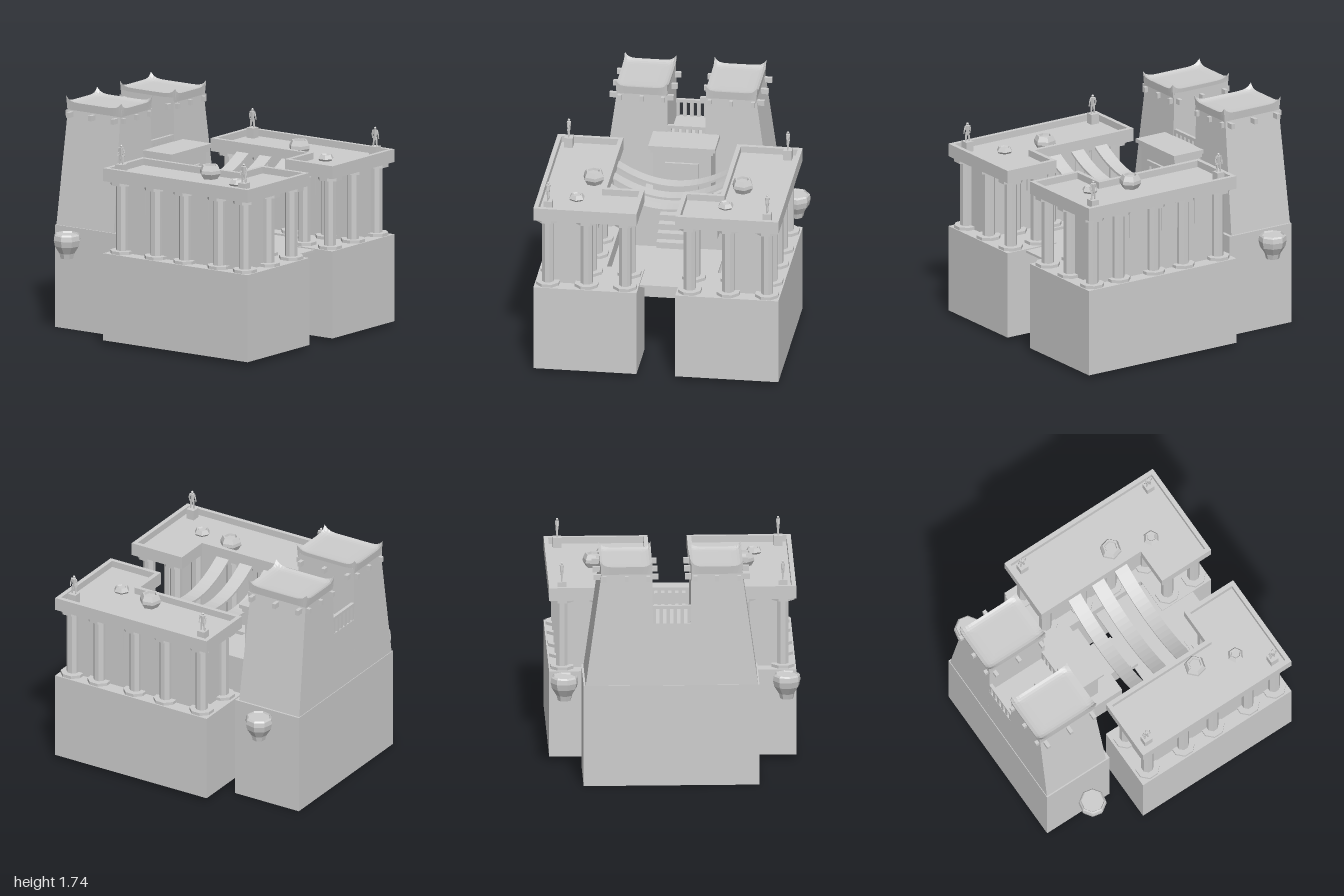
import * as THREE from 'three';

const stone = new THREE.MeshStandardMaterial({ color: 0xcccccc, flatShading: true, side: THREE.DoubleSide });
stone.name = 'stone';

const CX = 0.03; // centre line of the rear gate and sanctuary
const AX = 0.0035; // centre line of the two wings

export function createModel() {
  const model = new THREE.Group();
  model.name = 'temple';

  const add = (name, geometry, parent = model) => {
    const mesh = new THREE.Mesh(geometry, stone);
    mesh.name = name;
    parent.add(mesh);
    return mesh;
  };
  const box = (name, x0, x1, y0, y1, z0, z1, parent) => {
    const m = add(name, new THREE.BoxGeometry(Math.abs(x1 - x0), y1 - y0, z1 - z0), parent);
    m.position.set((x0 + x1) / 2, (y0 + y1) / 2, (z0 + z1) / 2);
    return m;
  };
  const lathe = (name, pts, sides, x, z, parent) => {
    const m = add(name, new THREE.LatheGeometry(pts.map(p => new THREE.Vector2(p[0], p[1])), sides), parent);
    m.position.set(x, 0, z);
    return m;
  };

  // L-shaped plan of a wing, inset by d
  const plan = (s, d) => [
    [0.917 - d, -0.33 + d], [0.426 + d, -0.33 + d], [0.426 + d, 0.56 + d],
    [0.145 + d, 0.56 + d], [0.145 + d, 1 - d], [0.917 - d, 1 - d],
  ].map(([x, z]) => new THREE.Vector2(AX + s * x, z));
  const slab = (name, s, d, y0, y1, hole, parent) => {
    const shape = new THREE.Shape(plan(s, d));
    if (hole) shape.holes.push(new THREE.Path(plan(s, hole)));
    const g = new THREE.ExtrudeGeometry(shape, { depth: y1 - y0, bevelEnabled: false });
    g.rotateX(Math.PI / 2).translate(0, y1, 0);
    return add(name, g, parent);
  };

  const column = (x, z, parent) => {
    const c = new THREE.Group();
    c.name = 'column';
    for (const [r, y0, y1] of [[0.092, 0.69, 0.713], [0.047, 0.713, 1.21], [0.092, 1.21, 1.235]]) {
      const g = new THREE.CylinderGeometry(r, r, y1 - y0, 8);
      g.rotateY(Math.PI / 8).translate(x, (y0 + y1) / 2, z);
      add(r < 0.06 ? 'shaft' : 'columnPlate', g, c);
    }
    parent.add(c);
  };

  // Small standing figure on a pedestal, facing along x
  const statue = (s, x, z, parent) => {
    const g = new THREE.Group();
    g.name = 'statue';
    box('pedestal', -0.032, 0.032, 1.27, 1.362, -0.032, 0.032, g);
    const limb = (name, r0, r1, a, b) => {
      const p = new THREE.Vector3(...a), q = new THREE.Vector3(...b);
      const m = add(name, new THREE.CylinderGeometry(r1, r0, p.distanceTo(q), 6), g);
      m.position.copy(p).add(q).multiplyScalar(0.5);
      m.quaternion.setFromUnitVectors(new THREE.Vector3(0, 1, 0), q.sub(p).normalize());
    };
    for (const k of [-1, 1]) {
      limb('leg', 0.006, 0.01, [0, 1.362, k * 0.016], [0, 1.43, k * 0.009]);
      limb('upperArm', 0.006, 0.007, [0, 1.452, k * 0.027], [0, 1.482, k * 0.018]);
      limb('forearm', 0.005, 0.006, [0.008, 1.42, k * 0.027], [0, 1.452, k * 0.027]);
    }
    limb('torso', 0.012, 0.018, [0, 1.42, 0], [0, 1.485, 0]);
    add('head', new THREE.IcosahedronGeometry(0.011, 0), g).position.set(0, 1.498, 0);
    g.position.set(x, 0, z);
    g.rotation.y = s > 0 ? 0 : Math.PI;
    parent.add(g);
  };

  // Colonnaded wings: a closed hall ringed by half-embedded columns, and an open porch
  for (const s of [1, -1]) {
    const wing = new THREE.Group();
    wing.name = s > 0 ? 'leftWing' : 'rightWing';
    model.add(wing);
    const X = x => AX + s * x;
    slab('wingBase', s, 0, 0.03, 0.69, 0, wing);
    slab('roofSlab', s, 0.001, 1.238, 1.285, 0, wing);
    slab('roofParapet', s, 0, 1.237, 1.335, 0.033, wing);
    box('wingHall', X(0.53), X(0.81), 0.69, 1.24, -0.225, 0.89, wing);
    for (const z of [0.515, 0.22, -0.07])
      for (const x of [0.838, 0.494])
        box('hangingPanel', X(x - 0.004), X(x + 0.004), 1.005, 1.238, z - 0.068, z + 0.068, wing);
    for (const z of [0.905, 0.67, 0.355, 0.09, -0.225])
      for (const x of [0.82, 0.53]) column(X(x), z, wing);
    for (const z of [0.905, 0.67]) column(X(0.242), z, wing);
    for (const z of [-0.235, 0.895]) statue(s, X(0.82), z, wing);
    // Roof planters
    lathe('largePlanter', [[0, 1.28], [0.055, 1.28], [0.082, 1.325], [0.08, 1.35], [0.062, 1.387], [0.048, 1.387], [0.044, 1.37], [0, 1.37]],
      6, s > 0 ? 0.57 : -0.545, 0.385, wing).rotation.y = 0.25;
    lathe('smallPlanter', [[0, 1.28], [0.045, 1.28], [0.062, 1.3], [0.045, 1.33], [0.037, 1.33], [0.03, 1.32], [0, 1.32]],
      6, s > 0 ? 0.485 : -0.63, 0.69, wing);
    // Urn beside the gate base
    lathe('urn', [[0, 0.59], [0.05, 0.59], [0.06, 0.63], [0.095, 0.685], [0.105, 0.73], [0.1, 0.765], [0.09, 0.777], [0.084, 0.765], [0, 0.765]],
      8, s > 0 ? 0.82 : -0.83, -0.725).rotation.y = 0.2;
  }

  // Sagging bands strung between the wings
  for (const z of [-0.035, 0.175, 0.38]) {
    const band = new THREE.BoxGeometry(0.86, 0.018, 0.108, 20, 1, 1);
    const p = band.attributes.position;
    for (let i = 0; i < p.count; i++) {
      const u = p.getX(i) / 0.43;
      p.setY(i, p.getY(i) + 1.115 + 0.14 * u * u);
    }
    band.translate(0, 0, z);
    add('saggingBand', band);
  }

  // Court floor, walkway and stairs
  box('courtFloor', -0.39, 0.405, 0.665, 0.682, 0.14, 0.56);
  box('walkway', -0.14, 0.148, 0.665, 0.682, 0.56, 0.835);
  for (let i = 0; i < 4; i++)
    box('stair', CX - 0.137, CX + 0.137, 0.67, 0.73 + i * 0.047, -0.08, 0.17 - i * 0.06);

  // Sanctuary
  box('sanctuaryPlatform', -0.267, 0.317, 0.665, 0.912, -0.47, -0.08);
  box('sanctuaryBody', CX - 0.218, CX + 0.218, 0.91, 1.305, -0.47, -0.24);
  box('sanctuaryCornice', CX - 0.235, CX + 0.235, 1.275, 1.305, -0.475, -0.225);
  box('sanctuaryRoof', CX - 0.25, CX + 0.25, 1.305, 1.335, -0.48, -0.21);
  for (const k of [-1, 1])
    box('doorJamb', CX + k * 0.125, CX + k * 0.09, 0.91, 1.2, -0.245, -0.222);
  box('doorLintel', CX - 0.125, CX + 0.125, 1.165, 1.2, -0.245, -0.22);

  // Block with separate extents at bottom and top, for battered walls
  const battered = (name, x0, x1, y0, y1, z0, z1, parent) => {
    const g = new THREE.BoxGeometry(1, 1, 1);
    const p = g.attributes.position;
    for (let i = 0; i < p.count; i++) {
      const t = p.getY(i) > 0 ? 1 : 0;
      p.setXYZ(i, (p.getX(i) < 0 ? x0 : x1)[t], t ? y1 : y0, (p.getZ(i) < 0 ? z0 : z1)[t]);
    }
    return add(name, g, parent);
  };

  // Gate base and the wall between the towers
  box('gateBase', -0.62, 0.685, 0, 0.775, -0.99, -0.43);
  battered('gateWall', [-0.13, -0.13], [0.19, 0.19], 0.775, 1.25, [-0.985, -0.974], [-0.457, -0.473]);
  for (const z of [-0.972, -0.505]) {
    box('battlementRail', -0.115, 0.175, 1.362, 1.386, z, z + 0.025);
    for (let i = 0; i < 6; i++) {
      const x = -0.1 + i * 0.052;
      box('battlementPost', x - 0.013, x + 0.013, 1.245, 1.364, z, z + 0.025);
    }
  }

  // Battered gate towers
  for (const s of [1, -1]) {
    const tower = new THREE.Group();
    tower.name = s > 0 ? 'leftTower' : 'rightTower';
    model.add(tower);
    const X = x => CX + s * x;
    const inner = [X(0.134), X(0.145)], outer = [X(0.64), X(0.518)];
    battered('towerBody', s > 0 ? inner : outer, s > 0 ? outer : inner, 0.775, 1.665,
      [-0.985, -0.965], [-0.457, -0.485], tower);

    // Flaring top with small raised corners
    const roof = new THREE.BoxGeometry(2, 1, 2, 20, 1, 20);
    const rp = roof.attributes.position;
    for (let i = 0; i < rp.count; i++) {
      const u = rp.getX(i), v = rp.getZ(i), top = rp.getY(i) > 0;
      const lift = Math.pow(Math.abs(u * v), 8);
      const rim = Math.pow(Math.max(Math.abs(u), Math.abs(v)), 10);
      const k = top ? 1 : 0.97;
      rp.setXYZ(i, X(0.336) + u * 0.194 * k, top ? 1.675 + 0.015 * rim + 0.045 * lift : 1.63,
        -0.722 + v * 0.255 * k);
    }
    add('towerRoof', roof, tower);

    // Projecting beam ends
    const peg = (x, z, dx, dz) => box('beamEnd', x - dx, x + dx, 1.58, 1.62, z - dz, z + dz, tower);
    for (const x of [0.175, 0.335, 0.5])
      for (const z of [-0.475, -0.975]) peg(X(x), z, 0.014, 0.02);
    for (const z of [-0.515, -0.722, -0.925])
      for (const x of [0.127, 0.553]) peg(X(x), z, 0.028, 0.014);
  }

  return model;
}
